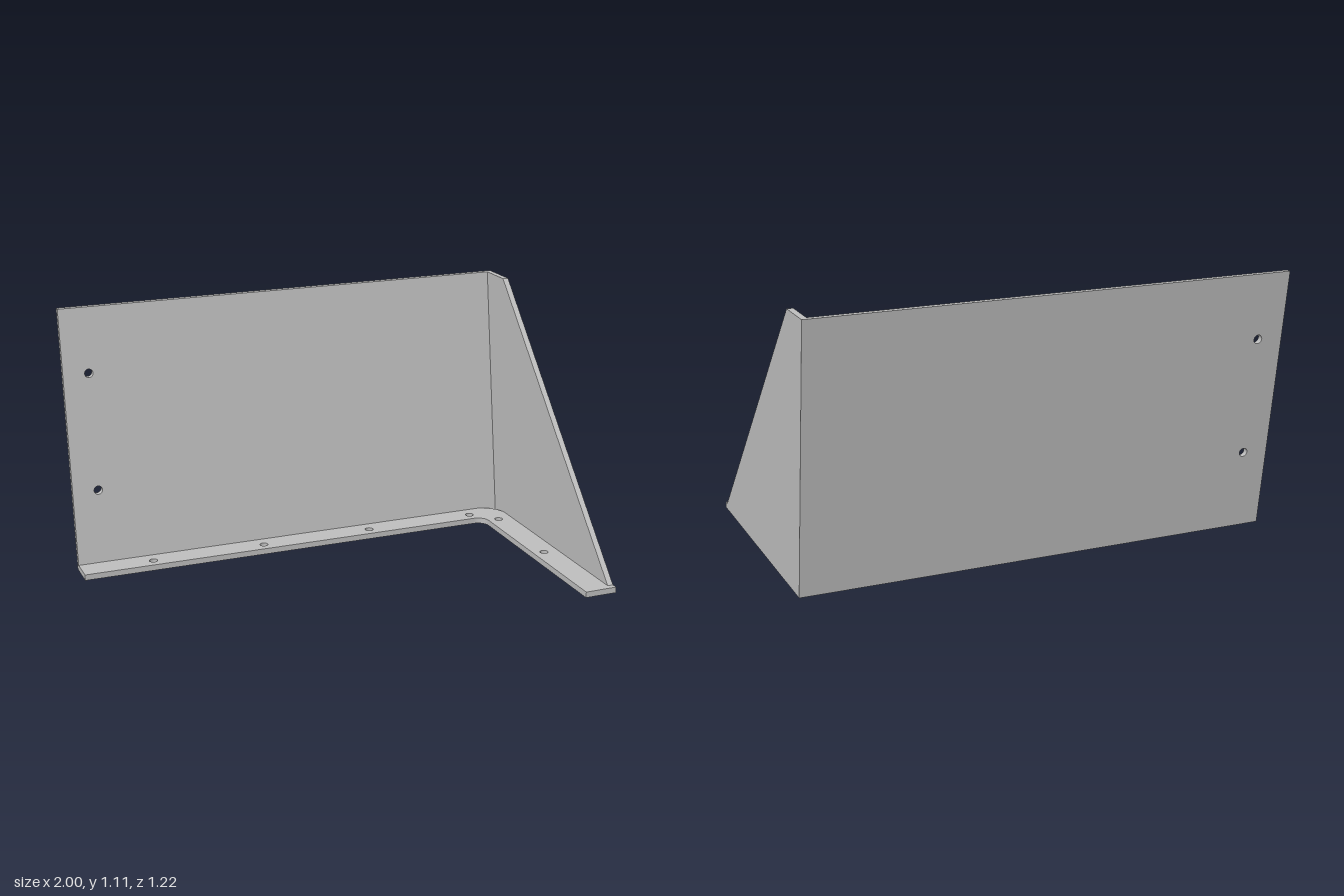
import * as THREE from 'three';

const T = 0.025;      // sheet thickness
const H = 1.105;      // overall height
const LEAN = 0.155 / H; // backward lean of the back plate
const HOLE_R = 0.018;

function polygon(points) {
  return new THREE.Shape(points.map(([x, y]) => new THREE.Vector2(x, y)));
}

function drill(shape, x, y) {
  const hole = new THREE.Path();
  hole.absarc(x, y, HOLE_R, 0, Math.PI * 2, true);
  shape.holes.push(hole);
}

function extrude(shape) {
  return new THREE.ExtrudeGeometry(shape, { depth: T, bevelEnabled: false, curveSegments: 16 });
}

export function createModel() {
  const group = new THREE.Group();
  const steel = new THREE.MeshStandardMaterial({ color: 0xbebebe });
  steel.name = 'grey steel';

  const add = (name, geometry) => {
    const mesh = new THREE.Mesh(geometry, steel);
    mesh.name = name;
    group.add(mesh);
  };

  // Leaning back plate with two fixing holes, sheared backwards with height
  const back = polygon([[-1, 0], [1 - T, 0], [1 - T, H], [-1, H]]);
  for (const y of [0.335, 0.83]) drill(back, -0.89, y);
  const backGeometry = extrude(back);
  const p = backGeometry.attributes.position;
  for (let i = 0; i < p.count; i++) p.setZ(i, p.getZ(i) - 0.455 - LEAN * p.getY(i));
  backGeometry.computeVertexNormals();
  add('backPlate', backGeometry);

  // Tapered side plate, drawn in z and y
  const side = polygon([[-0.455, 0], [0.585, 0], [0.585, T], [-0.43, H], [-0.61, H]]);
  add('sidePlate', extrude(side).rotateY(-Math.PI / 2).translate(1, 0, 0));

  // L-shaped base flange, drawn in x and -z, with a rounded relief at the corner
  const flange = new THREE.Shape();
  flange.moveTo(-1, 0.32);
  flange.lineTo(0.81, 0.32);
  flange.absarc(0.81, 0.27, 0.05, Math.PI / 2, 0, true);
  flange.lineTo(0.86, -0.61);
  flange.lineTo(1, -0.61);
  flange.lineTo(1, -0.585);
  flange.lineTo(1 - T, -0.585);
  flange.lineTo(1 - T, 0.328);
  flange.absarc(0.87, 0.328, 0.105, 0, Math.PI / 2, false);
  flange.lineTo(-1, 0.433);
  for (const x of [-0.69, -0.19, 0.31, 0.81]) drill(flange, x, 0.37);
  for (const z of [-0.27, 0.16]) drill(flange, 0.91, -z);
  add('baseFlange', extrude(flange).rotateX(-Math.PI / 2));

  return group;
}
